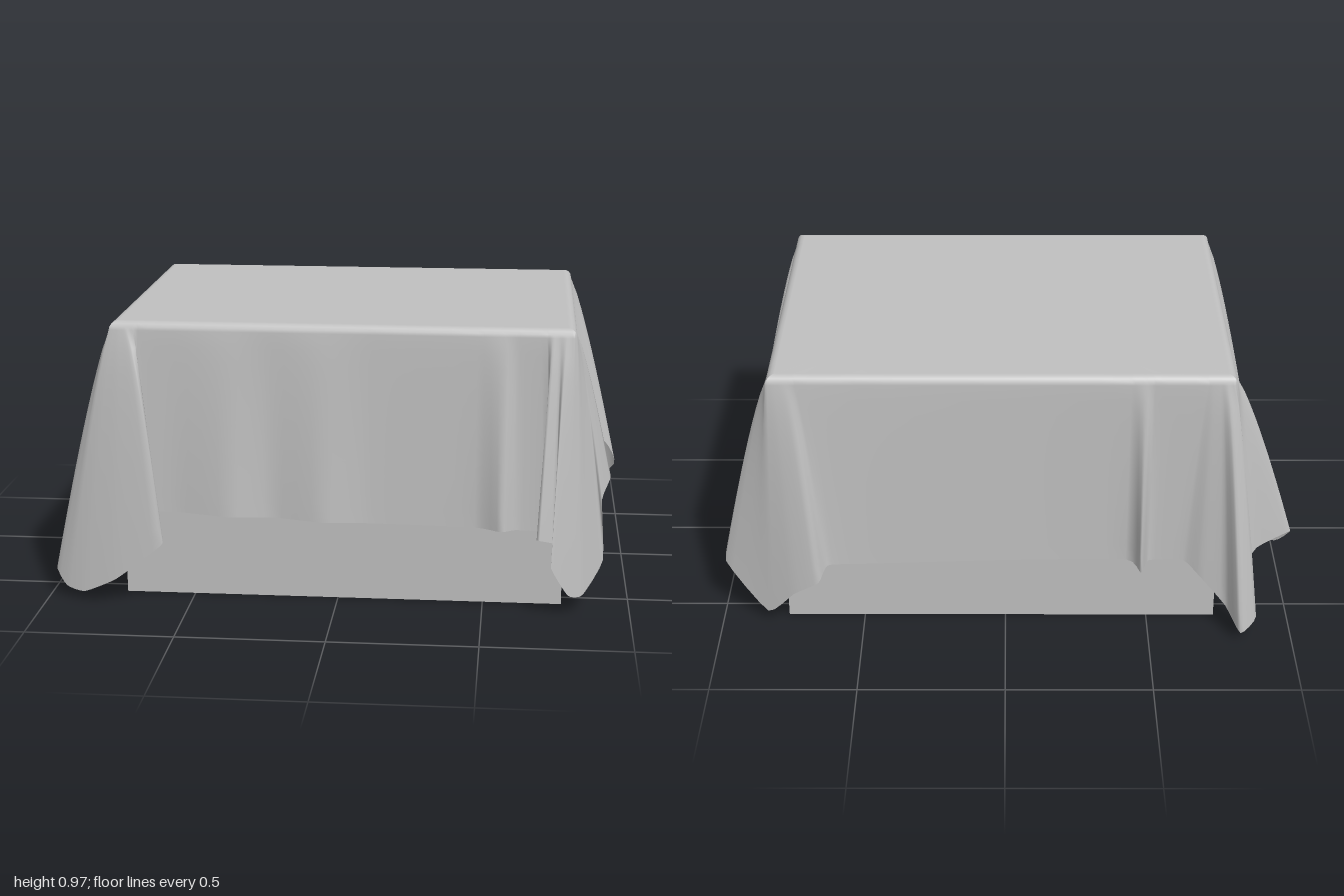
import * as THREE from 'three';

// Rectangle of the draped top, its height and edge rounding
const X0 = -0.775, X1 = 0.8, Z0 = -0.575, Z1 = 0.59, TOP = 0.967, R = 0.03;
const clamp = THREE.MathUtils.clamp;

// Hem stations [x, y, z] of each corner fold, counterclockwise seen from above
const corners = {
  frontLeft: [
    [-0.79, 0.27, 0.43], [-0.94, 0.25, 0.49], [-0.92, 0.2, 0.52], [-0.84, 0.16, 0.55],
    [-0.98, 0.1, 0.6], [-0.94, 0.04, 0.64], [-0.87, 0.03, 0.67], [-0.75, 0.09, 0.7],
    [-0.59, 0.22, 0.72], [-0.6, 0.24, 0.67], [-0.7, 0.3, 0.61]],
  frontRight: [
    [0.72, 0.27, 0.61], [0.68, 0.27, 0.7], [0.74, 0.25, 0.68], [0.73, 0.18, 0.72],
    [0.79, 0.07, 0.68], [0.84, 0.06, 0.64], [0.91, 0.15, 0.53], [0.9, 0.37, 0.54],
    [0.93, 0.43, 0.45], [0.82, 0.43, 0.46]],
  backRight: [
    [0.82, 0.4, -0.43], [0.95, 0.3, -0.48], [0.99, 0.2, -0.52], [0.84, 0.04, -0.6],
    [0.74, 0.14, -0.64], [0.65, 0.2, -0.66], [0.62, 0.24, -0.61]],
  backLeft: [
    [-0.62, 0.25, -0.59], [-0.68, 0.2, -0.62], [-0.77, 0.1, -0.65], [-0.82, 0.035, -0.725],
    [-0.88, 0.06, -0.66], [-0.83, 0.2, -0.6], [-0.88, 0.28, -0.555], [-1.0, 0.32, -0.51],
    [-0.95, 0.26, -0.48], [-0.79, 0.28, -0.43]],
};

// Hem stations of the flatter panels between the corners
const panels = {
  front: [
    [-0.55, 0.305, 0.605], [-0.37, 0.3, 0.635], [-0.22, 0.295, 0.605], [-0.05, 0.29, 0.635],
    [0.12, 0.285, 0.61], [0.47, 0.28, 0.61], [0.56, 0.28, 0.655], [0.61, 0.275, 0.61]],
  right: [[0.815, 0.425, 0.3], [0.815, 0.41, -0.25]],
  back: [
    [0.5, 0.24, -0.6], [0, 0.25, -0.59], [-0.42, 0.25, -0.585], [-0.47, 0.24, -0.655],
    [-0.5, 0.25, -0.59]],
  left: [[-0.785, 0.28, -0.3], [-0.785, 0.27, 0.3]],
};

// Pairs every hem station with a point on the top edge
function buildStations() {
  const stations = [];
  const addCorner = (list, cx, cz, dirIn, dirOut) => list.forEach((p, i) => {
    const s = (i / (list.length - 1) - 0.5) * 0.2;
    const d = s < 0 ? dirIn : dirOut;
    stations.push({ hem: p, top: [cx + d[0] * s, cz + d[1] * s] });
  });
  const addPanel = (list, anchor) => list.forEach((p) => stations.push({ hem: p, top: anchor(p) }));
  addCorner(corners.frontLeft, X0, Z1, [0, 1], [1, 0]);
  addPanel(panels.front, (p) => [p[0], Z1]);
  addCorner(corners.frontRight, X1, Z1, [1, 0], [0, -1]);
  addPanel(panels.right, (p) => [X1, p[2]]);
  addCorner(corners.backRight, X1, Z0, [0, -1], [-1, 0]);
  addPanel(panels.back, (p) => [p[0], Z0]);
  addCorner(corners.backLeft, X0, Z0, [-1, 0], [0, 1]);
  addPanel(panels.left, (p) => [X0, p[2]]);
  return stations;
}

// Cloth: flat top, rounded edge, then a skirt flaring out to the folded hem
function clothGeometry() {
  const stations = buildStations();
  const count = stations.length, SUB = 4, N = count * SUB, ROWS = 12;
  const hemCurve = new THREE.CatmullRomCurve3(
    stations.map((s) => new THREE.Vector3(...s.hem)), true, 'catmullrom', 0.25);
  const columns = [];
  for (let i = 0; i < N; i++) {
    const a = stations[Math.floor(i / SUB)].top;
    const b = stations[(Math.floor(i / SUB) + 1) % count].top;
    const f = (i % SUB) / SUB;
    columns.push({
      x: a[0] + (b[0] - a[0]) * f,
      z: a[1] + (b[1] - a[1]) * f,
      hem: hemCurve.getPoint(i / N),
    });
  }
  const pos = [(X0 + X1) / 2, TOP, (Z0 + Z1) / 2];
  const index = [];
  let rings = 0;
  const addRing = (pointAt) => {
    columns.forEach((c) => pos.push(...pointAt(c)));
    rings++;
  };
  // Rounded edge
  for (let k = 0; k < 4; k++) {
    const a = (k / 4) * Math.PI / 2;
    const inset = R * (1 - Math.sin(a));
    addRing((c) => [
      clamp(c.x, X0 + inset, X1 - inset), TOP - R * (1 - Math.cos(a)),
      clamp(c.z, Z0 + inset, Z1 - inset)]);
  }
  // Skirt
  for (let k = 0; k <= ROWS; k++) {
    const t = k / ROWS, out = Math.pow(t, 0.82);
    addRing((c) => [
      c.x + (c.hem.x - c.x) * out,
      TOP - R + (c.hem.y - TOP + R) * t,
      c.z + (c.hem.z - c.z) * out]);
  }
  for (let i = 0; i < N; i++) {
    const j = (i + 1) % N;
    index.push(0, 1 + i, 1 + j);
    for (let r = 0; r < rings - 1; r++) {
      const u = 1 + r * N, v = u + N;
      index.push(u + i, v + i, v + j, u + i, v + j, u + j);
    }
  }
  const g = new THREE.BufferGeometry();
  g.setAttribute('position', new THREE.Float32BufferAttribute(pos, 3));
  g.setIndex(index);
  g.computeVertexNormals();
  return g;
}

export function createModel() {
  const model = new THREE.Group();
  model.name = 'drapedBox';
  const grey = new THREE.MeshStandardMaterial({ color: 0xc0c0c0, side: THREE.DoubleSide });
  grey.name = 'light grey';

  // Solid box under the cloth
  const box = new THREE.Mesh(new THREE.BoxGeometry(1.51, 0.95, 1.135), grey);
  box.position.set(0.015, 0.475, 0.0025);
  box.name = 'box';

  const cloth = new THREE.Mesh(clothGeometry(), grey);
  cloth.name = 'tablecloth';

  model.add(box, cloth);
  return model;
}
